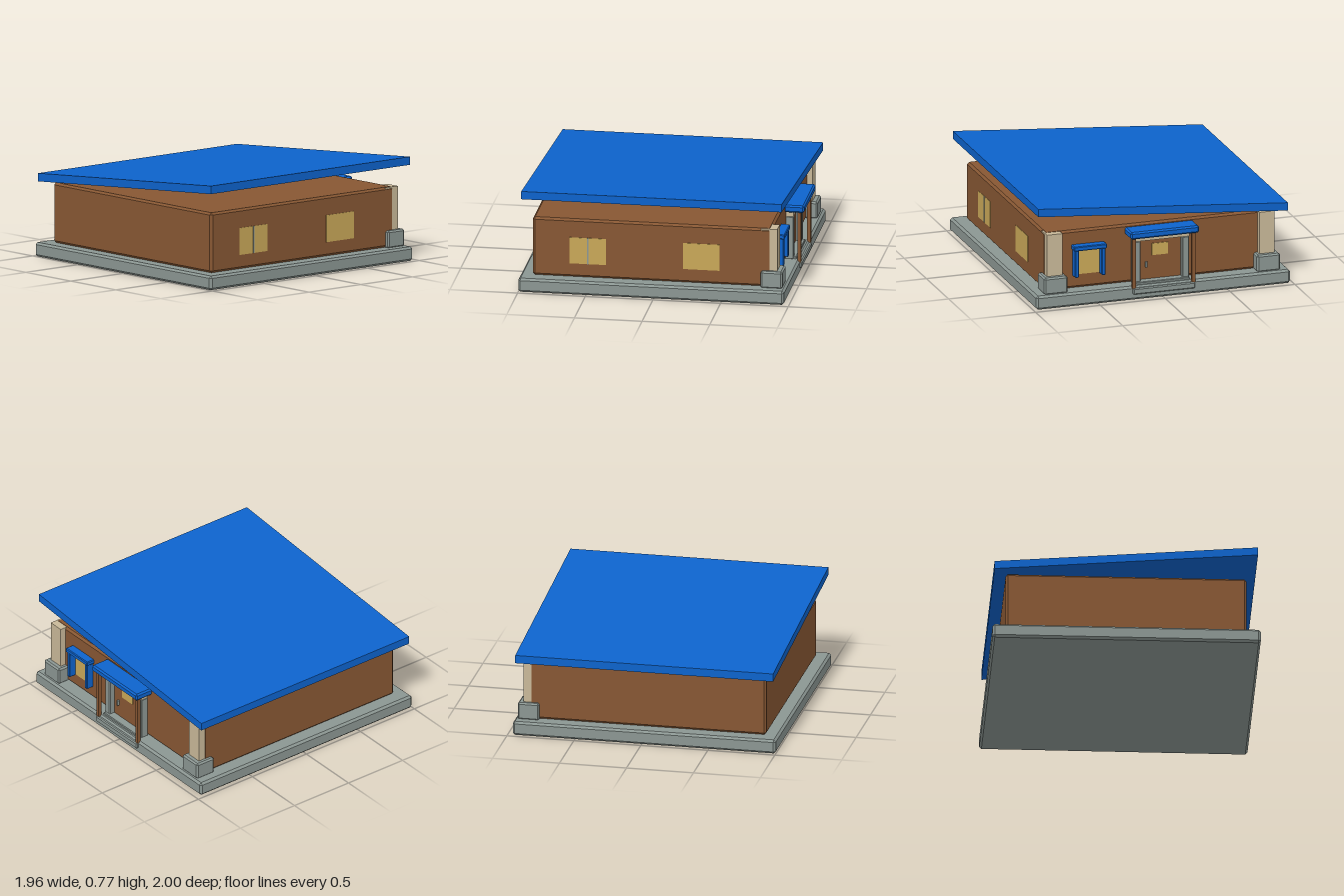
import * as THREE from 'three';
import { ConvexGeometry } from 'three/addons/geometries/ConvexGeometry.js';

function material(name, color) {
  const m = new THREE.MeshStandardMaterial({ color });
  m.name = name;
  return m;
}

// Box between two corners with all edges chamfered by c
function chamferBox([x0, y0, z0], [x1, y1, z1], c) {
  const pts = [];
  for (const x of [0, 1]) for (const y of [0, 1]) for (const z of [0, 1]) {
    const p = [x ? x1 : x0, y ? y1 : y0, z ? z1 : z0];
    const s = [x ? -c : c, y ? -c : c, z ? -c : c];
    for (let face = 0; face < 3; face++) {
      pts.push(new THREE.Vector3(...p.map((v, i) => (i === face ? v : v + s[i]))));
    }
  }
  return new ConvexGeometry(pts);
}

function plainBox(a, b) {
  const size = a.map((v, i) => b[i] - v);
  const mid = a.map((v, i) => (v + b[i]) / 2);
  return new THREE.BoxGeometry(...size).translate(...mid);
}

export function createModel() {
  const model = new THREE.Group();
  model.name = 'house';
  const blue = material('roof blue', 0x0d63cc);
  const brown = material('wall brown', 0x875733);
  const gray = material('stone gray', 0x8b9692);
  const cream = material('column cream', 0xc8b898);
  const yellow = material('window yellow', 0xc9a858);

  function add(name, mat, a, b, chamfer = 0) {
    const mesh = new THREE.Mesh(chamfer ? chamferBox(a, b, chamfer) : plainBox(a, b), mat);
    mesh.name = name;
    model.add(mesh);
  }

  // Foundation slab, entrance step and house body
  add('foundation', gray, [-0.98, 0, -0.963], [0.98, 0.105, 1], 0.016);
  add('entranceStep', gray, [-0.24, 0.045, -0.98], [0.24, 0.093, -0.9], 0.008);
  add('walls', brown, [-0.88, 0.105, -0.857], [0.88, 0.55, 0.908], 0.016);

  // Sloping roof slab, rising towards the left side
  const slope = new THREE.Shape([
    new THREE.Vector2(-0.965, 0.555), new THREE.Vector2(0.96, 0.71),
    new THREE.Vector2(0.96, 0.77), new THREE.Vector2(-0.965, 0.615),
  ]);
  const roof = new THREE.Mesh(
    new THREE.ExtrudeGeometry(slope, { depth: 1.925, bevelEnabled: false }), blue);
  roof.position.z = -0.945;
  roof.name = 'roof';
  model.add(roof);

  // Mirrored pairs: rear columns with plinths, porch posts, door jambs
  for (const side of [-1, 1]) {
    const pair = (name, mat, x0, x1, y0, y1, z0, z1, c) =>
      add(name, mat, [Math.min(side * x0, side * x1), y0, z0],
        [Math.max(side * x0, side * x1), y1, z1], c);
    pair('columnPlinth', gray, 0.73, 0.91, 0.1, 0.23, -0.94, -0.78, 0.012);
    pair('cornerColumn', cream, 0.76, 0.878, 0.22, 0.548, -0.9, -0.78);
    pair('porchPost', brown, 0.217, 0.243, 0.09, 0.48, -0.972, -0.946);
    pair('doorJamb', gray, 0.16, 0.215, 0.1, 0.43, -0.915, -0.85, 0.006);
  }

  // Door with lintel, threshold, pane and handle
  add('door', brown, [-0.16, 0.11, -0.872], [0.16, 0.43, -0.85]);
  add('doorLintel', cream, [-0.215, 0.43, -0.915], [0.215, 0.475, -0.85]);
  add('threshold', gray, [-0.21, 0.1, -0.935], [0.21, 0.122, -0.85], 0.005);
  add('doorPane', yellow, [-0.062, 0.3, -0.877], [0.062, 0.39, -0.87]);
  add('doorHandle', gray, [0.098, 0.215, -0.89], [0.112, 0.255, -0.87]);

  // Porch canopy
  add('porchCanopy', blue, [-0.265, 0.475, -1], [0.265, 0.53, -0.85], 0.012);

  // Rear window with open-bottomed blue surround
  add('rearWindow', yellow, [0.45, 0.21, -0.862], [0.65, 0.41, -0.855]);
  add('rearWindowHood', blue, [0.42, 0.405, -0.922], [0.675, 0.44, -0.85], 0.006);
  for (const x of [0.43, 0.636]) {
    add('rearWindowJamb', blue, [x, 0.2, -0.915], [x + 0.03, 0.41, -0.85], 0.005);
  }

  // Windows in the left wall
  for (const z of [0.5, -0.338]) {
    add('sideWindow', yellow, [0.876, 0.21, z - 0.135], [0.883, 0.41, z + 0.135]);
  }
  add('windowMullion', gray, [0.878, 0.21, 0.493], [0.885, 0.41, 0.505]);

  return model;
}
